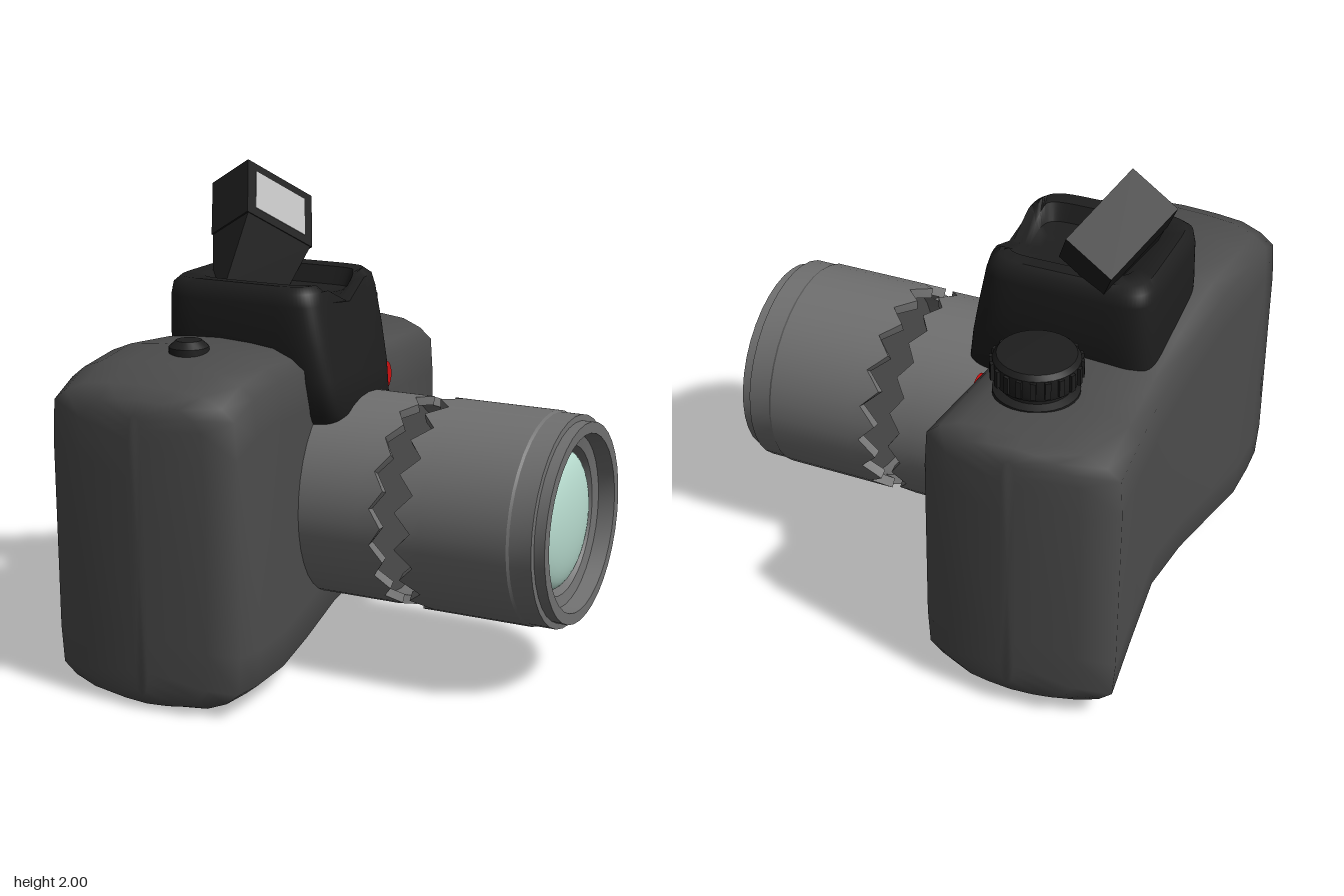
import * as THREE from 'three';
import { toCreasedNormals } from 'three/addons/utils/BufferGeometryUtils.js';

const mat = (color) => new THREE.MeshStandardMaterial({ color, roughness: 0.8 });
const bodyMat = mat(0x4c4c4c), blackMat = mat(0x1e1e1e), lensMat = mat(0x707070);
const glassMat = mat(0xb8dccf), redMat = mat(0xd01010), flashMat = mat(0xbbbbbb);

const LENS_Y = 0.685, LENS_Z = -0.02;

function part(group, name, geometry, material) {
  const mesh = new THREE.Mesh(geometry, material);
  mesh.name = name;
  group.add(mesh);
  return mesh;
}

// Closed skin over a row of rings with equal point counts
function loft(rings) {
  const n = rings[0].length, pos = [], idx = [];
  rings.forEach((r) => r.forEach((p) => pos.push(...p)));
  for (let k = 0; k < rings.length - 1; k++) {
    for (let i = 0; i < n; i++) {
      const j = (i + 1) % n, a = k * n + i, b = k * n + j;
      idx.push(a, b, b + n, a, b + n, a + n);
    }
  }
  const cap = (ring, start, flip) => {
    const c = pos.length / 3;
    pos.push(...[0, 1, 2].map((d) => ring.reduce((s, p) => s + p[d], 0) / n));
    for (let i = 0; i < n; i++) {
      const a = start + i, b = start + (i + 1) % n;
      idx.push(c, flip ? b : a, flip ? a : b);
    }
  };
  cap(rings[0], 0, true);
  cap(rings[rings.length - 1], (rings.length - 1) * n, false);
  const g = new THREE.BufferGeometry();
  g.setAttribute('position', new THREE.Float32BufferAttribute(pos, 3));
  g.setIndex(idx);
  g.computeVertexNormals();
  return g;
}

// Camera body: rounded sections along z as [z, xMin, xMax, yBottom, yTop]
function bodyGeometry() {
  const stations = [
    [-0.955, -0.52, -0.46, 0.12, 1.18], [-0.93, -0.76, -0.23, 0.07, 1.225],
    [-0.87, -0.9, -0.12, 0.04, 1.25], [-0.6, -0.875, -0.14, 0.085, 1.245],
    [-0.3, -0.85, -0.165, 0.13, 1.24], [0, -0.865, -0.15, 0.1, 1.3],
    [0.3, -0.89, -0.12, 0.04, 1.35], [0.55, -0.925, -0.09, 0.01, 1.367],
    [0.75, -0.925, -0.09, 0.002, 1.34], [0.88, -0.92, -0.1, 0.005, 1.28],
    [0.93, -0.77, -0.22, 0.02, 1.235], [0.953, -0.53, -0.47, 0.06, 1.18],
  ];
  // Half of a section: share of the half width, distance in from top or bottom
  const corner = [[0, 0], [0.35, 0.007], [0.63, 0.02], [0.84, 0.055], [0.975, 0.1], [1, 0.25]];
  const rev = [...corner].reverse();
  return loft(stations.map(([z, x0, x1, yb, yt]) => {
    const c = (x0 + x1) / 2, h = (x1 - x0) / 2;
    return [
      ...corner.map(([u, d]) => [c + u * h, yb + d, z]),
      ...rev.map(([u, d]) => [c + u * h, yt - d, z]),
      ...corner.slice(1).map(([u, d]) => [c - u * h, yt - d, z]),
      ...rev.slice(0, -1).map(([u, d]) => [c - u * h, yb + d, z]),
    ];
  }));
}

// Viewfinder hump: rounded rectangles stacked in y as [y, xBack, xFront, halfDepth]
function humpGeometry() {
  const stations = [
    [1.01, -0.6, -0.07, 0.2], [1.015, -0.74, -0.02, 0.24], [1.06, -0.77, 0, 0.27],
    [1.2, -0.78, -0.025, 0.305], [1.35, -0.78, -0.055, 0.318], [1.5, -0.775, -0.085, 0.318],
    [1.55, -0.765, -0.1, 0.312], [1.575, -0.74, -0.13, 0.285], [1.57, -0.66, -0.15, 0.22],
    [1.5, -0.58, -0.17, 0.19], [1.49, -0.5, -0.22, 0.12],
  ];
  const n = 64;
  return loft(stations.map(([y, x0, x1, h]) => Array.from({ length: n }, (_, i) => {
    const a = (i / n) * Math.PI * 2, c = Math.cos(a), s = Math.sin(a);
    const soft = (v) => Math.sign(v) * Math.abs(v) ** 0.3;
    const x = (x0 + x1) / 2 + soft(c) * (x1 - x0) / 2, z = -soft(s) * h;
    // Shallow valley in the front half of the top
    const limit = x > -0.45 ? 1.48 + 0.1 * Math.min(1, Math.abs(z) / 0.2) ** 1.5 : 9;
    return [x, y > 1.45 ? Math.min(y, limit) : y, z];
  })));
}

// Barrel turned about x; the rim points at tipX form a row of torn teeth
function barrel(points, tipX, notchX, oddIsNotch) {
  const g = new THREE.LatheGeometry(points.map(([r, x]) => new THREE.Vector2(r, x)), 36);
  const p = g.attributes.position;
  for (let i = 0; i < p.count; i++) {
    const odd = Math.floor(i / points.length) % 2 === 1;
    if (Math.abs(p.getY(i) - tipX) < 1e-4 && odd === oddIsNotch) p.setY(i, notchX);
  }
  g.rotateZ(-Math.PI / 2);
  return toCreasedNormals(g, 0.5);
}

function buildLens() {
  const lens = new THREE.Group();
  lens.name = 'lens';
  lens.position.set(0, LENS_Y, LENS_Z);
  part(lens, 'rearBarrel', barrel(
    [[0.425, -0.3], [0.425, 0.15], [0.425, 0.25], [0.39, 0.25], [0.39, 0.14]], 0.25, 0.2, true), lensMat);
  part(lens, 'frontBarrel', barrel(
    [[0.39, 0.43], [0.39, 0.31], [0.43, 0.31], [0.43, 0.42], [0.43, 0.78], [0.424, 0.79],
      [0.424, 0.88], [0.4, 0.882], [0.4, 0.925], [0.355, 0.925], [0.345, 0.86],
      [0.3, 0.85], [0.27, 0.8]], 0.31, 0.38, false), lensMat);
  // Dark walls closing both broken ends
  [[0.14, 1], [0.43, -1]].forEach(([x, dir]) => {
    const wall = part(lens, 'innerWall', new THREE.CircleGeometry(0.392, 36), bodyMat);
    wall.rotation.y = dir * Math.PI / 2;
    wall.position.x = x;
  });
  const dome = new THREE.SphereGeometry(0.28, 36, 12, 0, Math.PI * 2, 0, Math.PI / 2);
  dome.scale(1, 0.3, 1).rotateZ(-Math.PI / 2);
  part(lens, 'frontGlass', dome, glassMat).position.x = 0.815;
  return lens;
}

// Pop-up flash, tilted and twisted on its neck
function buildFlash() {
  const flash = new THREE.Group();
  flash.name = 'flash';
  const u = new THREE.Vector3(0.145, -0.18, -0.28).normalize();
  const n = new THREE.Vector3(0.85, 0.51, 0.11);
  n.addScaledVector(u, -n.dot(u)).normalize();
  const v = new THREE.Vector3().crossVectors(n, u);
  flash.quaternion.setFromRotationMatrix(new THREE.Matrix4().makeBasis(u, v, n));
  flash.position.set(-0.517, 1.815, -0.212).addScaledVector(n, -0.11);
  part(flash, 'flashHead', new THREE.BoxGeometry(0.363, 0.265, 0.22), blackMat);
  part(flash, 'flashWindow', new THREE.BoxGeometry(0.275, 0.185, 0.01), flashMat).position.z = 0.108;
  const neck = new THREE.BoxGeometry(0.35, 0.28, 0.215);
  const p = neck.attributes.position;
  for (let i = 0; i < p.count; i++) {
    if (p.getY(i) > 0) continue;
    p.setX(i, p.getX(i) * 0.8 - 0.03);
    if (p.getZ(i) > 0) p.setZ(i, -0.03);
  }
  neck.computeVertexNormals();
  part(flash, 'flashNeck', neck, blackMat).position.y = -0.27;
  return flash;
}

// Knurled mode dial
function buildDial() {
  const dial = new THREE.Group();
  dial.name = 'modeDial';
  dial.position.set(-0.44, 0, -0.57);
  const profile = [[0.165, 1.2], [0.165, 1.25], [0.135, 1.262], [0.135, 1.28], [0.158, 1.29],
    [0.165, 1.31], [0.165, 1.38], [0.15, 1.4], [0.12, 1.402], [0, 1.402]];
  const g = new THREE.LatheGeometry(profile.map(([r, y]) => new THREE.Vector2(r, y)), 32);
  part(dial, 'dialKnob', toCreasedNormals(g, 0.6), blackMat);
  for (let i = 0; i < 20; i++) {
    const a = (i / 20) * Math.PI * 2;
    const rib = part(dial, 'dialRib', new THREE.BoxGeometry(0.022, 0.07, 0.022), blackMat);
    rib.position.set(Math.cos(a) * 0.165, 1.342, Math.sin(a) * 0.165);
    rib.rotation.y = -a;
  }
  return dial;
}

export function createModel() {
  const camera = new THREE.Group();
  camera.name = 'brokenCamera';
  part(camera, 'body', bodyGeometry(), bodyMat);
  part(camera, 'viewfinderHump', toCreasedNormals(humpGeometry(), 0.8), blackMat);
  camera.add(buildLens(), buildFlash(), buildDial());

  // Shutter button on top
  const button = [[0.08, 1.33], [0.078, 1.375], [0.05, 1.4], [0, 1.4]];
  const shutter = new THREE.LatheGeometry(button.map(([r, y]) => new THREE.Vector2(r, y)), 24);
  part(camera, 'shutterButton', toCreasedNormals(shutter, 0.6), blackMat)
    .position.set(-0.475, 0, 0.595);

  // Red release button on the lens side
  const release = new THREE.CylinderGeometry(0.066, 0.072, 0.06, 32).rotateZ(-Math.PI / 2);
  part(camera, 'releaseButton', release, redMat).position.set(-0.175, 1.07, -0.44);
  return camera;
}
